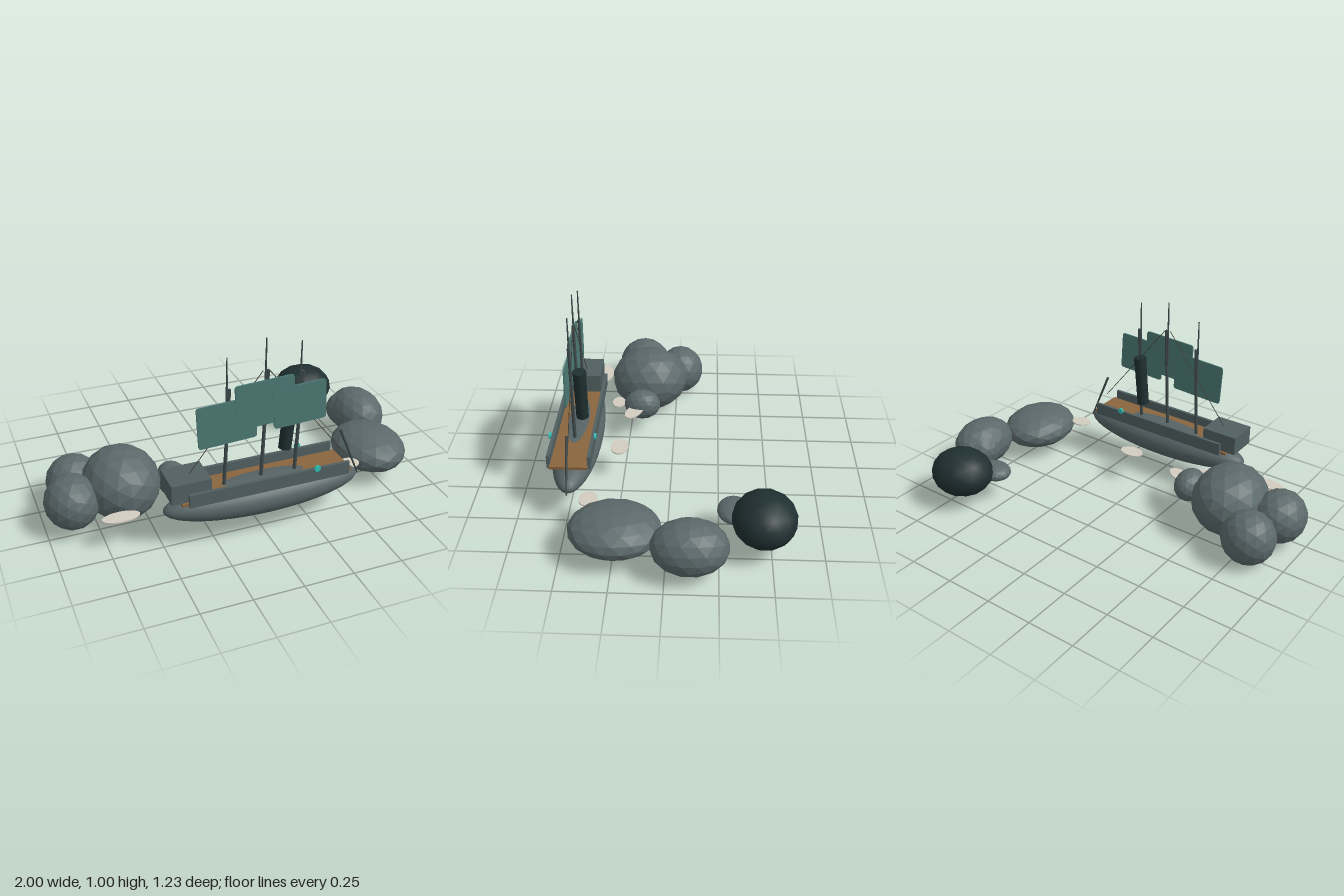
import * as THREE from 'three';

const mat = (name, color, extra = {}) => {
  const m = new THREE.MeshStandardMaterial({ color, ...extra });
  m.name = name;
  return m;
};

export function createModel() {
  const model = new THREE.Group();
  model.name = 'shipAmongRocks';
  const M = {
    rock: mat('rock grey', 0x5b696b, { flatShading: true }),
    dark: mat('soot black', 0x1f2f30),
    hull: mat('hull grey', 0x566365),
    wall: mat('bulwark grey', 0x516062),
    deck: mat('deck brown', 0x8a653f),
    mast: mat('mast grey', 0x404b4d),
    sail: mat('sail teal', 0x4c7a75, { side: THREE.DoubleSide }),
    lamp: mat('lamp turquoise', 0x30c4b8),
    foam: mat('foam beige', 0xd3cbc0),
    rope: mat('rope brown', 0x4a4238),
  };
  const Z = 0.49; // ship centre line

  const add = (parent, name, geo, material, x = 0, y = 0, z = 0) => {
    const mesh = new THREE.Mesh(geo, material);
    mesh.name = name;
    mesh.position.set(x, y, z);
    parent.add(mesh);
    return mesh;
  };
  // Tapered rod between two points on the ship's centre line
  const rod = (parent, name, [x0, y0], [x1, y1], r0, r1, material, z = Z, sides = 10) => {
    const geo = new THREE.CylinderGeometry(r1, r0, Math.hypot(x1 - x0, y1 - y0), sides);
    const mesh = add(parent, name, geo, material, (x0 + x1) / 2, (y0 + y1) / 2, z);
    mesh.rotation.z = -Math.atan2(x1 - x0, y1 - y0);
    return mesh;
  };

  const ship = new THREE.Group();
  ship.name = 'ship';
  model.add(ship);

  // Hull, deck, bulwarks and stern cabin
  add(ship, 'hull', new THREE.SphereGeometry(1, 36, 24), M.hull, 0.012, 0.2, Z).scale.set(0.508, 0.095, 0.126);
  add(ship, 'deck', new THREE.BoxGeometry(0.87, 0.014, 0.19), M.deck, 0.005, 0.279, Z);
  for (const s of [-1, 1]) {
    add(ship, 'bulwark', new THREE.BoxGeometry(0.82, 0.068, 0.016), M.wall, 0.011, 0.301, Z + s * 0.1);
    const lamp = add(ship, 'lamp', new THREE.CylinderGeometry(0.016, 0.016, 0.01, 16), M.lamp, 0.244, 0.34, Z + s * 0.114);
    lamp.rotation.x = Math.PI / 2;
  }
  add(ship, 'cabin', new THREE.BoxGeometry(0.195, 0.1, 0.166), M.wall, -0.38, 0.336, Z);

  // Sail plate with rounded corners
  const sailGeometry = (w, h, r) => {
    const s = new THREE.Shape();
    const a = w / 2, b = h / 2;
    s.moveTo(-a + r, -b);
    s.lineTo(a - r, -b).quadraticCurveTo(a, -b, a, -b + r);
    s.lineTo(a, b - r).quadraticCurveTo(a, b, a - r, b);
    s.lineTo(-a + r, b).quadraticCurveTo(-a, b, -a, b - r);
    s.lineTo(-a, -b + r).quadraticCurveTo(-a, -b, -a + r, -b);
    const geo = new THREE.ExtrudeGeometry(s, { depth: 0.008, bevelEnabled: false, curveSegments: 4 });
    geo.translate(0, 0, -0.004);
    return geo;
  };

  // Masts: base x, lower top, upper top, then sail centre y and size
  const masts = [
    { x: -0.19, low: 0.785, top: 0.945, sy: 0.62, w: 0.29, h: 0.215 },
    { x: 0.0, low: 0.85, top: 1.01, sy: 0.69, w: 0.295, h: 0.23 },
    { x: 0.177, low: 0.815, top: 0.97, sy: 0.65, w: 0.27, h: 0.207 },
  ];
  masts.forEach(({ x, low, top, sy, w, h }, i) => {
    rod(ship, 'lowerMast', [x, 0.28], [x + 0.026, low], 0.009, 0.008, M.mast);
    rod(ship, 'upperMast', [x + 0.012, low - 0.2], [x + 0.014, top], 0.007, 0.003, M.mast);
    const sail = add(ship, 'sail', sailGeometry(w, h, 0.016), M.sail, x + 0.011, sy, Z + 0.0095 + (i - 1) * 0.001);
    sail.rotation.z = 0.05;
  });

  // Bowsprit and stays
  rod(ship, 'bowsprit', [0.532, 0.185], [0.42, 0.455], 0.004, 0.007, M.mast);
  rod(ship, 'sternStay', [-0.37, 0.375], [0.0, 0.85], 0.002, 0.002, M.rope, Z, 5);
  rod(ship, 'bowStay', [0.425, 0.35], [0.03, 0.85], 0.002, 0.002, M.rope, Z, 5);

  // Leaning funnel with a rim
  rod(ship, 'funnel', [0.141, 0.393], [0.167, 0.667], 0.032, 0.033, M.dark, 0.45, 20);
  rod(ship, 'funnelRim', [0.165, 0.645], [0.167, 0.667], 0.035, 0.035, M.dark, 0.45, 20);

  // Boulders: centre then radii
  const boulder = new THREE.IcosahedronGeometry(1, 2);
  const rocks = [
    [-0.607, 0.195, 0.155, 0.195, 0.182, 0.217],
    [-0.81, 0.145, -0.02, 0.14, 0.14, 0.135],
    [-0.865, 0.17, 0.2, 0.137, 0.137, 0.147],
    [-0.35, 0.17, 0.182, 0.08, 0.085, 0.102],
    [0.737, 0.157, 0.238, 0.19, 0.104, 0.224],
    [0.858, 0.165, -0.115, 0.142, 0.13, 0.185],
    [0.815, 0.16, -0.17, 0.105, 0.1, 0.11],
    [0.585, 0.165, -0.32, 0.097, 0.045, 0.082],
  ];
  for (const [x, y, z, a, b, c] of rocks) add(model, 'boulder', boulder, M.rock, x, y, z).scale.set(a, b, c);
  M.dark.flatShading = false;
  add(model, 'darkBoulder', boulder, M.dark, 0.683, 0.195, -0.46).scale.set(0.17, 0.126, 0.156);

  // Flat foam patches on the waterline: x, z, radii, turn
  const foam = [
    [-0.68, 0.42, 0.092, 0.042, 0],
    [-0.262, 0.222, 0.08, 0.042, -0.4],
    [-0.355, 0.315, 0.053, 0.036, 0],
    [0.092, 0.272, 0.067, 0.046, 0],
    [0.54, 0.385, 0.057, 0.046, 0],
  ];
  const disc = new THREE.CylinderGeometry(1, 1, 0.006, 24);
  for (const [x, z, a, c, turn] of foam) {
    const patch = add(model, 'foamPatch', disc, M.foam, x, 0.175, z);
    patch.scale.set(a, 1, c);
    patch.rotation.y = turn;
  }
  return model;
}
